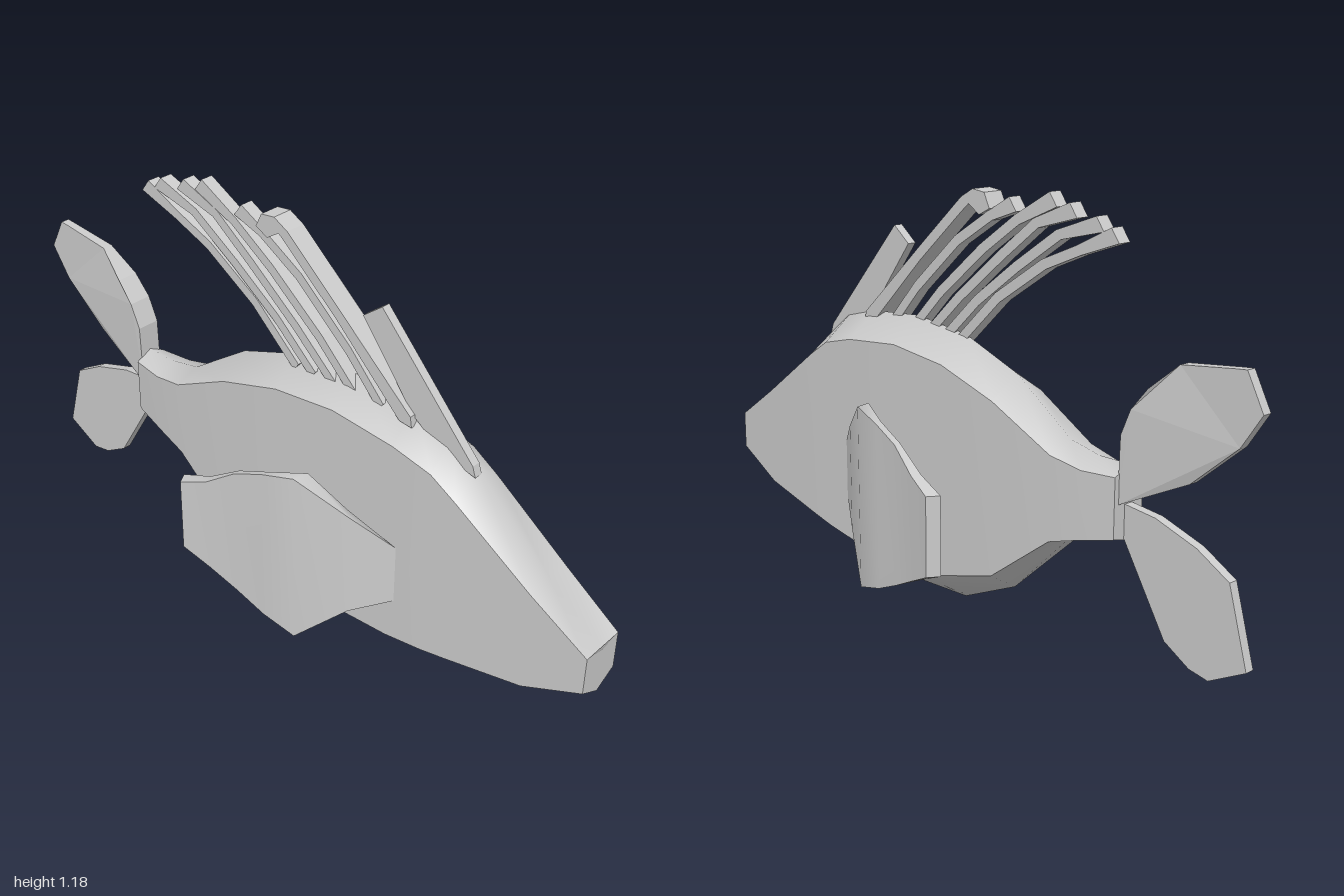
import * as THREE from 'three';

const material = new THREE.MeshStandardMaterial({ color: 0xcccccc, side: THREE.DoubleSide });

function addMesh(parent, geometry, name) {
  const mesh = new THREE.Mesh(geometry, material);
  mesh.name = name;
  parent.add(mesh);
}

// Skins rings running front to back. Each strip of ring indices is smooth in
// itself and sharp against its neighbours; flat caps close both ends.
function loft(rings, strips) {
  const pos = [], index = [];
  for (const strip of strips) {
    const base = pos.length / 3, n = strip.length;
    rings.forEach((ring, r) => strip.forEach((s, c) => {
      pos.push(...ring[s]);
      if (r < rings.length - 1 && c < n - 1) {
        const a = base + r * n + c, b = a + 1, d = a + n, e = d + 1;
        index.push(a, d, b, b, d, e);
      }
    }));
  }
  for (const cap of [rings[0], [...rings[rings.length - 1]].reverse()]) {
    const base = pos.length / 3;
    cap.forEach((p, i) => {
      pos.push(...p);
      if (i > 1) index.push(base, base + i - 1, base + i);
    });
  }
  const g = new THREE.BufferGeometry();
  g.setAttribute('position', new THREE.Float32BufferAttribute(pos, 3));
  g.setIndex(index);
  g.computeVertexNormals();
  return g;
}

// Plate cut from a side outline of [z, y] points, centred on x
function plate(outline, thickness, x) {
  const shape = new THREE.Shape(outline.map(([z, y]) => new THREE.Vector2(-z, y)));
  const g = new THREE.ExtrudeGeometry(shape, { depth: thickness, bevelEnabled: false });
  g.translate(0, 0, -thickness / 2);
  g.rotateY(Math.PI / 2);
  g.translate(x, 0, 0);
  return g;
}

// Body stations: z, half width, ridge, side top, side bottom, keel
const BODY = [
  [1.0, 0.068, 0.338, 0.35, 0.24, 0.205],
  [0.83, 0.077, 0.47, 0.46, 0.165, 0.115],
  [0.6, 0.085, 0.68, 0.62, 0.12, 0.06],
  [0.52, 0.087, 0.74, 0.67, 0.105, 0.042],
  [0.4, 0.09, 0.772, 0.70, 0.09, 0.02],
  [0.2, 0.09, 0.79, 0.72, 0.08, 0.004],
  [0.0, 0.09, 0.77, 0.70, 0.10, 0.015],
  [-0.2, 0.088, 0.70, 0.64, 0.16, 0.105],
  [-0.4, 0.075, 0.567, 0.54, 0.31, 0.30],
  [-0.5, 0.065, 0.548, 0.522, 0.34, 0.33],
  [-0.6, 0.05, 0.55, 0.525, 0.365, 0.353],
];

// Side fin stations: outer x, outer z, inner x, inner z, top, bottom
const SIDE_FIN = [
  [0.09, 0.425, 0.085, 0.33, 0.395, 0.22],
  [0.155, 0.32, 0.13, 0.29, 0.475, 0.165],
  [0.225, 0.19, 0.18, 0.20, 0.57, 0.045],
  [0.24, 0.09, 0.215, 0.10, 0.545, 0.075],
  [0.25, 0.0, 0.23, 0.0, 0.51, 0.115],
  [0.268, -0.09, 0.242, -0.1, 0.45, 0.16],
  [0.288, -0.172, 0.255, -0.192, 0.42, 0.20],
];

const UPPER_LOBE = [[-0.595, 0.45], [-0.8, 0.55], [-0.94, 0.67], [-1, 0.76], [-0.95, 0.853],
  [-0.92, 0.85], [-0.76, 0.83], [-0.68, 0.76], [-0.63, 0.7], [-0.6, 0.63]];
const LOWER_LOBE = [[-0.595, 0.45], [-0.6, 0.36], [-0.74, 0.135], [-0.82, 0.09], [-0.88, 0.08],
  [-0.99, 0.14], [-0.93, 0.345], [-0.83, 0.4], [-0.7, 0.44]];

// Front spine, hooked second spine
const FIRST_SPINE = [[0.61, 0.67], [0.6, 0.7], [0.3, 1.03], [0.24, 0.985], [0.41, 0.765], [0.5, 0.7]];
const SECOND_SPINE = [[0.42, 0.74], [0.415, 0.77], [0.17, 0.99], [0.0, 1.14], [-0.045, 1.165],
  [-0.09, 1.16], [-0.11, 1.12], [-0.07, 1.1], [-0.03, 1.125], [0.0, 1.1], [0.17, 0.95], [0.38, 0.745]];

// Slender rays: centre lines of [z, y]
const RAYS = [
  [[0.31, 0.75], [0.2, 0.87], [0.03, 1.02], [-0.1, 1.1], [-0.185, 1.138]],
  [[0.22, 0.75], [0.1, 0.87], [-0.07, 1.01], [-0.2, 1.1], [-0.33, 1.165]],
  [[0.15, 0.75], [0.02, 0.87], [-0.14, 1.0], [-0.27, 1.1], [-0.4, 1.145]],
  [[0.08, 0.75], [-0.05, 0.87], [-0.2, 0.98], [-0.35, 1.08], [-0.49, 1.122]],
  [[0.02, 0.75], [-0.13, 0.89], [-0.3, 1.0], [-0.42, 1.05], [-0.54, 1.1]],
];

export function createModel() {
  const model = new THREE.Group();

  // Six-sided body with a smooth back and belly
  const rings = BODY.map(([z, w, ridge, top, low, keel]) => [
    [w, top, z], [0, ridge, z], [-w, top, z], [-w, low, z], [0, keel, z], [w, low, z],
  ]);
  addMesh(model, loft(rings, [[0, 1, 2], [2, 3], [3, 4, 5], [5, 0]]), 'body');

  // Curved side fins
  for (const [side, name] of [[1, 'leftSideFin'], [-1, 'rightSideFin']]) {
    const finRings = SIDE_FIN.map(([ox, oz, ix, iz, top, low]) => {
      const ring = [[ox, top, oz], [ix, top, iz], [ix, low, iz], [ox, low, oz]]
        .map(([x, y, z]) => [x * side, y, z]);
      return side < 0 ? ring.reverse() : ring;
    });
    addMesh(model, loft(finRings, [[0, 1], [1, 2], [2, 3], [3, 0]]), name);
  }

  // Tail lobes, the upper one thicker at its root
  const upper = plate(UPPER_LOBE, 0.026, 0);
  const p = upper.attributes.position;
  for (let i = 0; i < p.count; i++) {
    const flare = THREE.MathUtils.clamp((p.getZ(i) + 0.77) / 0.1, 0, 1);
    p.setX(i, p.getX(i) * (1 + 1.7 * flare));
  }
  upper.computeVertexNormals();
  addMesh(model, upper, 'upperTailLobe');
  addMesh(model, plate(LOWER_LOBE, 0.026, 0), 'lowerTailLobe');

  // Back fin
  const backFin = new THREE.Group();
  backFin.name = 'backFin';
  model.add(backFin);
  addMesh(backFin, plate(FIRST_SPINE, 0.026, -0.012), 'firstSpine');
  addMesh(backFin, plate(SECOND_SPINE, 0.06, -0.012), 'secondSpine');
  RAYS.forEach((path, i) => {
    const half = (j) => (j === path.length - 1 ? 0.022 : 0.014);
    const front = path.map(([z, y], j) => [z + half(j) * 0.6, y + half(j) * 0.8]);
    const back = path.map(([z, y], j) => [z - half(j) * 0.6, y - half(j) * 0.8]);
    addMesh(backFin, plate([...front, ...back.reverse()], 0.038, -0.012), 'finRay' + (i + 1));
  });

  return model;
}
